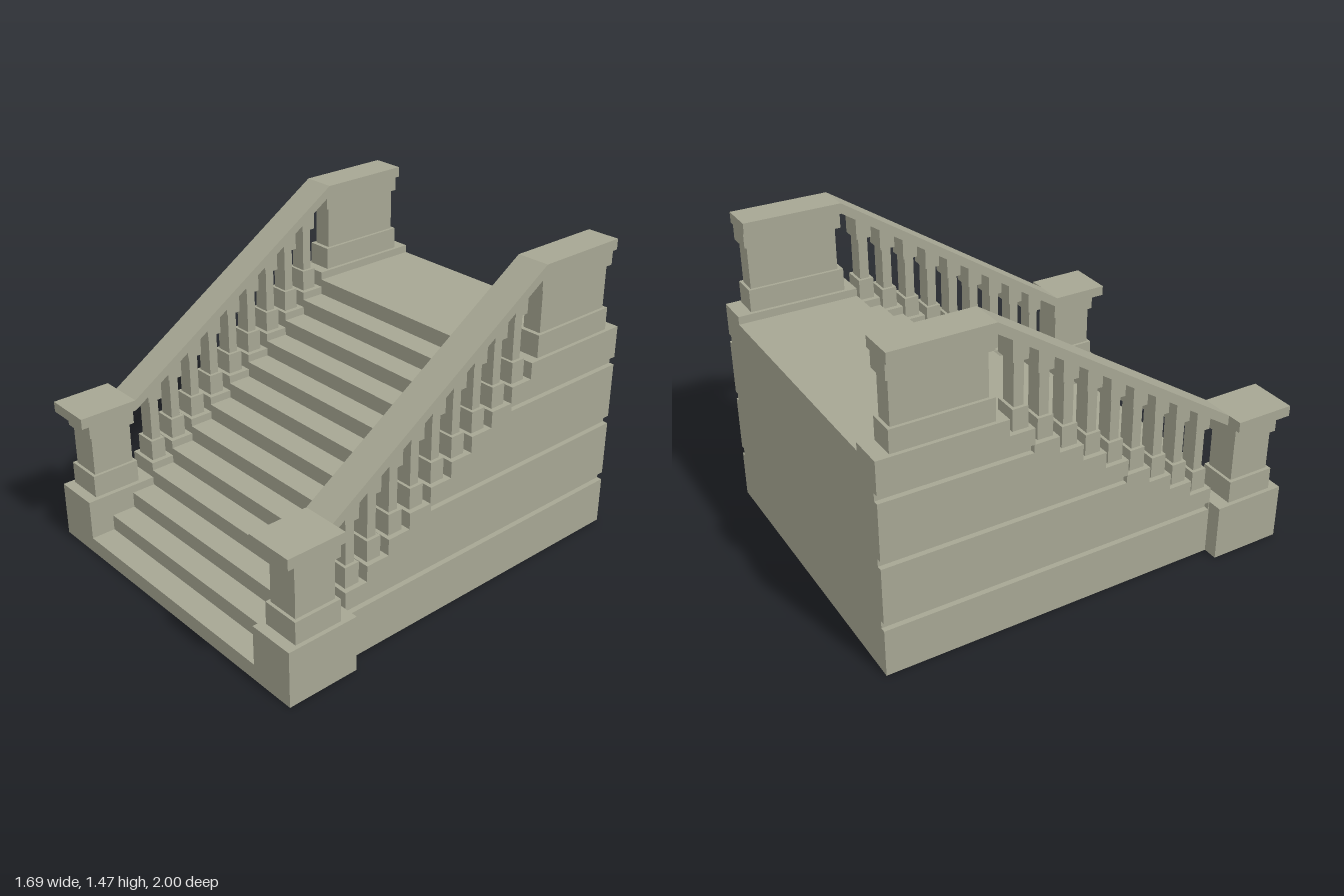
import * as THREE from 'three';

const RISE = 0.0768, RUN = 0.118, STEPS = 13;
const IN = 0.612, OUT = 0.77, MID = 0.691; // side wall, inner / outer / centre x
const stepZ = (k) => 1 - RUN * (k - 1);    // front edge of step k
const KERB = 0.038;                        // wall height above its step

export function createModel() {
  const root = new THREE.Group();
  const mat = new THREE.MeshStandardMaterial({ color: 0xa6a693, flatShading: true });

  const add = (parent, name, geo) => {
    const mesh = new THREE.Mesh(geo, mat);
    mesh.name = name;
    parent.add(mesh);
  };
  // box from its limits
  const box = (parent, name, x0, x1, y0, y1, z0, z1) => {
    const geo = new THREE.BoxGeometry(x1 - x0, y1 - y0, z1 - z0);
    geo.translate((x0 + x1) / 2, (y0 + y1) / 2, (z0 + z1) / 2);
    add(parent, name, geo);
  };
  // [z, y] outline extruded along x
  const slab = (parent, name, x0, x1, points) => {
    const shape = new THREE.Shape(points.map(([z, y]) => new THREE.Vector2(z, y)));
    const geo = new THREE.ExtrudeGeometry(shape, { depth: x1 - x0, bevelEnabled: false });
    geo.rotateY(-Math.PI / 2);
    geo.translate(x1, 0, 0);
    add(parent, name, geo);
  };
  // stair outline from step a up to the landing, without the back edge
  const stair = (a, lift) => {
    const pts = [[stepZ(a), 0]];
    for (let k = a; k <= STEPS; k++) {
      const y = k * RISE + lift;
      pts.push([stepZ(k), y], [k < STEPS ? stepZ(k + 1) : -1, y]);
    }
    return pts;
  };

  // Flight of steps with landing
  slab(root, 'steps', -IN, IN, [...stair(1, 0), [-1, 0]]);

  for (const s of [1, -1]) {
    const side = new THREE.Group();
    side.name = s > 0 ? 'leftBalustrade' : 'rightBalustrade';
    root.add(side);
    const sbox = (name, a, b, ...rest) => box(side, name, Math.min(s * a, s * b), Math.max(s * a, s * b), ...rest);
    const sslab = (name, a, b, pts) => slab(side, name, Math.min(s * a, s * b), Math.max(s * a, s * b), pts);

    // Stepped wall: plain core, and an outer face with three grooves
    const core = 0.745;
    sslab('wallCore', IN, core, [...stair(4, KERB), [-1, 0]]);
    const face = stair(4, KERB);
    for (const k of [11, 7, 3]) {
      const top = k * RISE + KERB, z = stepZ(k + 1) - 0.004;
      face.push([-1, top], [z, top], [z, top - KERB], [-1, top - KERB]);
    }
    sslab('wallFace', core, OUT, [...face, [-1, 0]]);

    // Lower pedestal
    sbox('lowerPlinth', IN, 0.84, 0, 0.27, 0.647, 1);
    sbox('lowerPedestalBase', 0.635, 0.82, 0.27, 0.379, 0.715, 0.95);
    sbox('lowerPedestalShaft', 0.65, 0.803, 0.379, 0.579, 0.73, 0.935);
    sbox('lowerPedestalNeck', 0.635, 0.82, 0.579, 0.655, 0.715, 0.95);
    sbox('lowerPedestalCap', 0.61, 0.845, 0.655, 0.706, 0.712, 1);

    // Upper pedestal
    sbox('upperPedestalBase', 0.63, 0.752, 1.036, 1.143, -0.932, -0.47);
    sbox('upperPedestalShaft', 0.645, 0.737, 1.143, 1.348, -0.917, -0.492);
    sbox('upperPedestalNeck', 0.63, 0.752, 1.348, 1.423, -0.932, -0.47);
    sbox('upperPedestalCap', 0.61, OUT, 1.423, 1.473, -0.935, -0.47);

    // Sloping handrail
    sslab('handrail', 0.61, OUT, [[0.712, 0.655], [0.712, 0.706], [-0.47, 1.473], [-0.47, 1.423]]);

    // One baluster per step, wider across than along; the top block ends inside the rail
    for (let k = 4; k <= 12; k++) {
      const z = stepZ(k) - RUN / 2 + 0.003;
      const y = k * RISE + KERB;
      const rail = 0.655 + (0.712 - z) * (1.423 - 0.655) / 1.182;
      const block = (name, halfX, halfZ, y0, y1) =>
        sbox(name, MID - halfX, MID + halfX, y0, y1, z - halfZ, z + halfZ);
      block('balusterBase', 0.055, 0.037, y, y + 0.1);
      block('balusterShaft', 0.04, 0.023, y + 0.1, y + 0.308);
      block('balusterTop', 0.055, 0.037, y + 0.308, rail + 0.0245);
    }
  }
  return root;
}
